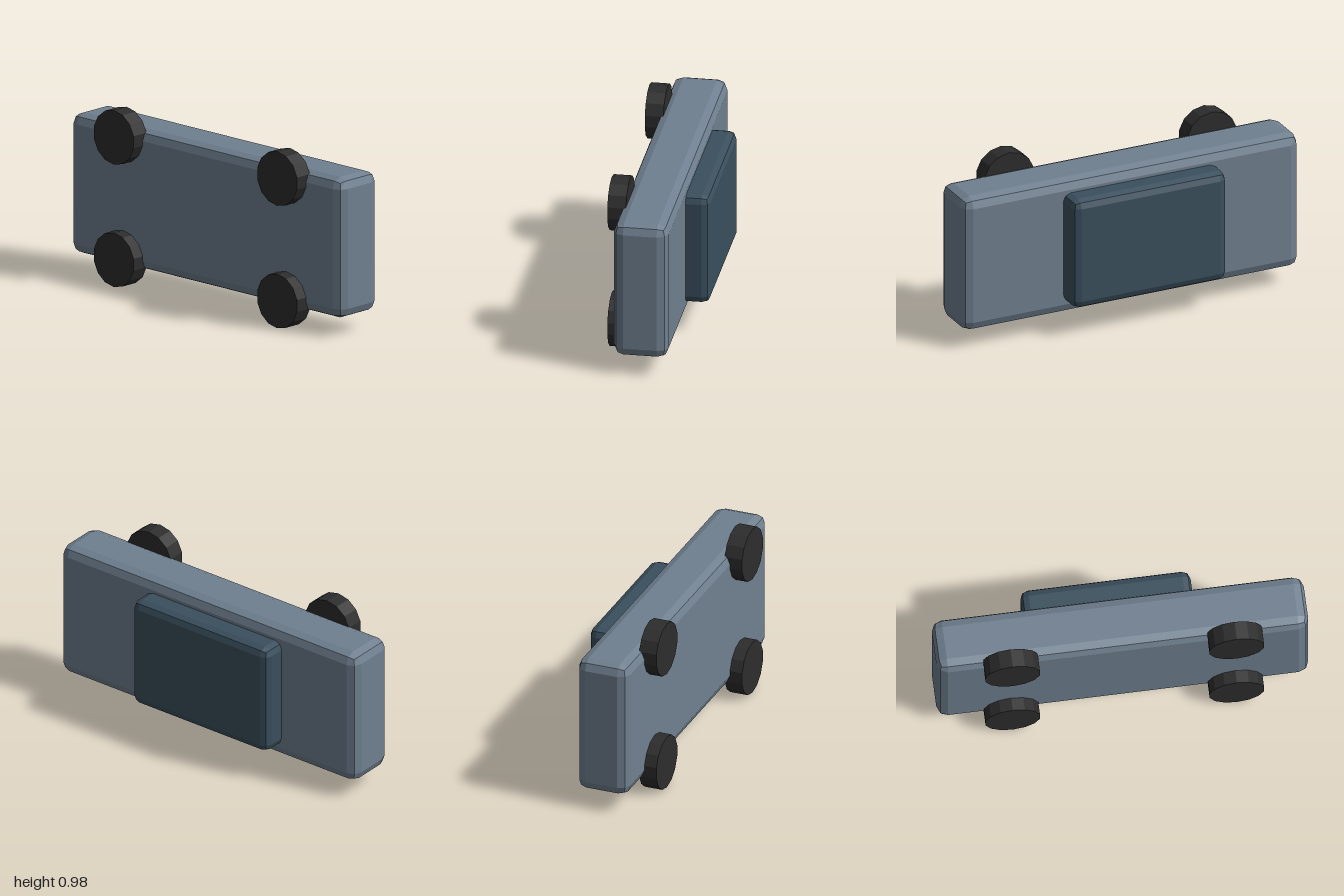
import * as THREE from 'three';

const paint = new THREE.MeshStandardMaterial({ name: 'slate paint', color: 0x708090, flatShading: true });
const glass = new THREE.MeshStandardMaterial({ name: 'dark blue glass', color: 0x3a4f5d, flatShading: true });
const rubber = new THREE.MeshStandardMaterial({ name: 'black rubber', color: 0x2d2d2d, flatShading: true });

// Box between two corners, every edge bevelled in two facets of radius r
function bevelledBox(name, min, max, r, material) {
  const size = max.map((v, i) => v - min[i]);
  const geometry = new THREE.BoxGeometry(1, 1, 1, 3, 3, 3);
  const pos = geometry.attributes.position;
  for (let i = 0; i < pos.count; i++) {
    const u = [pos.getX(i), pos.getY(i), pos.getZ(i)];
    const dir = new THREE.Vector3(...u.map((c) => (Math.abs(c) > 0.4 ? Math.sign(c) : 0)));
    dir.setLength(r);
    const inner = u.map((c, k) => Math.sign(c) * (size[k] / 2 - r));
    pos.setXYZ(i, inner[0] + dir.x, inner[1] + dir.y, inner[2] + dir.z);
  }
  geometry.computeVertexNormals();
  const mesh = new THREE.Mesh(geometry, material);
  mesh.name = name;
  mesh.position.set(...min.map((v, i) => (v + max[i]) / 2));
  return mesh;
}

export function createModel() {
  const model = new THREE.Group();
  model.name = 'carOnItsSide';

  // Body and roof cabin; the car lies on its side with its roof towards -z
  model.add(bevelledBox('body', [-1, 0.1, -0.116], [1, 0.877, 0.18], 0.057, paint));
  model.add(bevelledBox('cabin', [-0.505, 0.173, -0.247], [0.41, 0.803, -0.02], 0.045, glass));

  // Four wheels under the floor
  const wheelGeometry = new THREE.CylinderGeometry(0.15, 0.15, 0.1, 14).rotateX(Math.PI / 2);
  for (const [end, x] of [['rear', -0.605], ['front', 0.6]]) {
    for (const [side, y] of [['Lower', 0.15], ['Upper', 0.827]]) {
      const wheel = new THREE.Mesh(wheelGeometry, rubber);
      wheel.name = `${end}${side}Wheel`;
      wheel.position.set(x, y, 0.2);
      model.add(wheel);
    }
  }
  return model;
}
